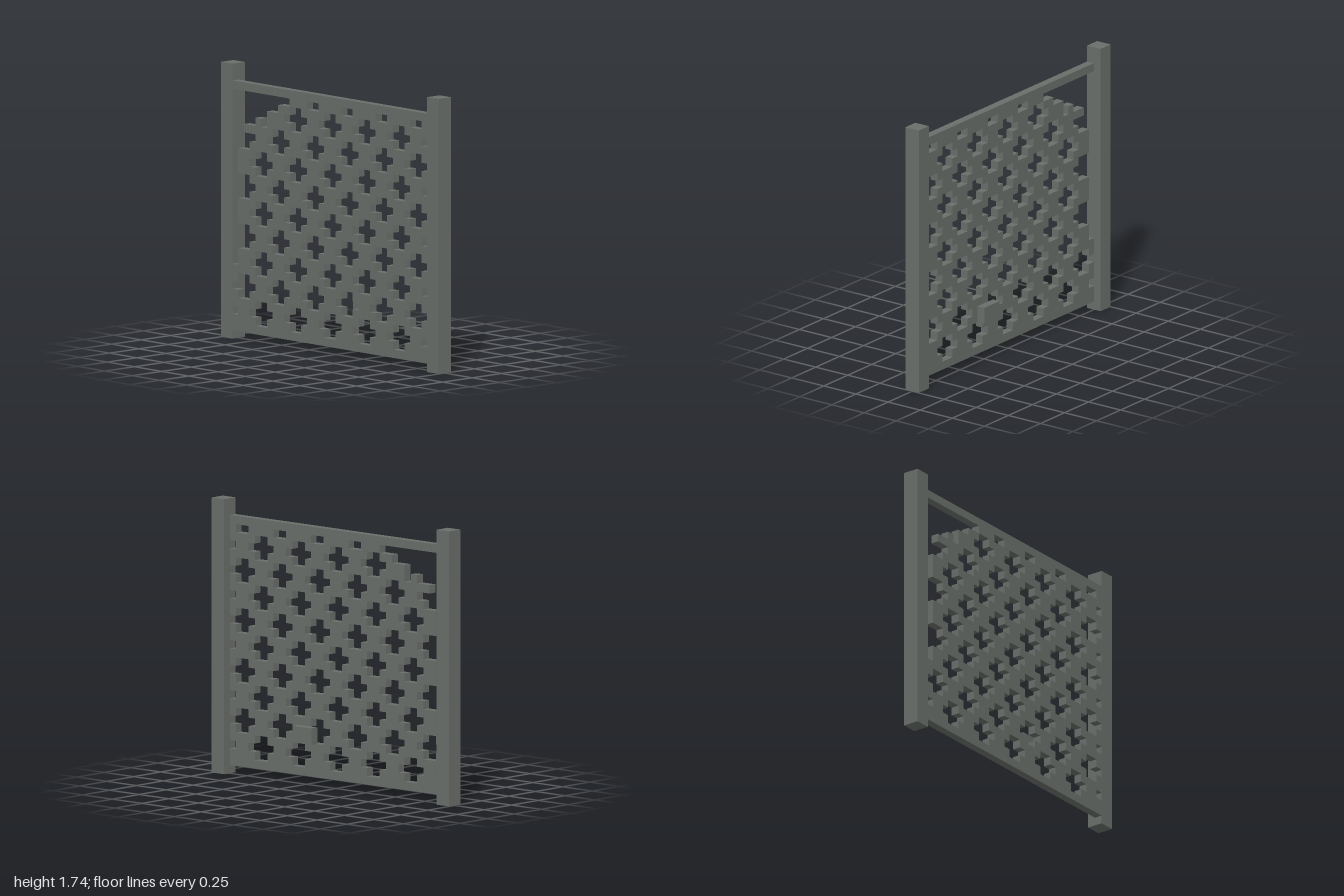
import * as THREE from 'three';
import { mergeGeometries } from 'three/addons/utils/BufferGeometryUtils.js';

const U = 1 / 19; // grid unit: the model is 38 units wide
const HALF = 17;  // half the panel width in units
const BOTTOM = 1, TOP = 31;

// Broken upper left corner: first remaining column of each damaged row
function firstColumn(row) {
  if (row < 9 || row === 30) return -HALF;
  if (row < 25) return -16;
  return [-15, -11, -11, -9, -7][row - 25];
}

// Single cells left over inside broken openings, as "column,row"
const remnants = new Set(['-15,25', '-13,26', '-11,27']);

// Staggered cross-shaped openings: 4 units wide, 3 high, every 6 units
function isOpening(col, row) {
  if (row < 2 || row > 29) return false;
  const band = Math.floor((row - 2) / 3);
  const halfWidth = (row - 2) % 3 === 1 ? 2 : 1;
  const shift = band % 2 ? 3 : 0;
  const d = ((col + 0.5 - shift + 3 + 60) % 6) - 3;
  return Math.abs(d) < halfWidth;
}

function isSolid(col, row) {
  if (row < BOTTOM || row >= TOP) return false;
  if (col < -HALF || col >= HALF) return true; // the posts
  if (remnants.has(`${col},${row}`)) return true;
  return col >= firstColumn(row) && !isOpening(col, row);
}

// Unit-thick lattice made of only its exposed faces
function latticeGeometry() {
  const faces = [];
  const face = (w, h, rx, ry, x, y, z) => faces.push(
    new THREE.PlaneGeometry(w * U, h * U).rotateX(rx).rotateY(ry).translate(x * U, y * U, z * U));
  const Q = Math.PI / 2;
  for (let r = BOTTOM; r < TOP; r++) {
    for (let c = -HALF; c < HALF; c++) {
      if (!isSolid(c, r)) continue;
      const x = c + 0.5, y = r + 0.5;
      if (!isSolid(c - 1, r)) face(1, 1, 0, -Q, c, y, 0.5);
      if (!isSolid(c + 1, r)) face(1, 1, 0, Q, c + 1, y, 0.5);
      if (!isSolid(c, r - 1)) face(1, 1, Q, 0, x, r, 0.5);
      if (!isSolid(c, r + 1)) face(1, 1, -Q, 0, x, r + 1, 0.5);
      // Front and back faces run along the row
      if (c === -HALF || !isSolid(c - 1, r)) {
        let end = c;
        while (end < HALF && isSolid(end, r)) end++;
        face(end - c, 1, 0, 0, (c + end) / 2, y, 1);
        face(end - c, 1, 0, Math.PI, (c + end) / 2, y, 0);
      }
    }
  }
  return mergeGeometries(faces);
}

export function createModel() {
  const group = new THREE.Group();
  const stone = new THREE.MeshStandardMaterial({ color: 0x6a6f6a });
  stone.name = 'grey stone';

  const add = (name, geometry) => {
    const mesh = new THREE.Mesh(geometry, stone);
    mesh.name = name;
    group.add(mesh);
  };
  const box = (x0, x1, y0, y1, z0, z1) =>
    new THREE.BoxGeometry((x1 - x0) * U, (y1 - y0) * U, (z1 - z0) * U)
      .translate((x0 + x1) / 2 * U, (y0 + y1) / 2 * U, (z0 + z1) / 2 * U);

  // Side posts
  add('leftPost', box(HALF, HALF + 2, 0, 33, -1, 1));
  add('rightPost', box(-HALF - 2, -HALF, 0, 33, -1, 1));

  // Pierced panel with its rails
  add('latticePanel', latticeGeometry());

  // Small block fixed to the back of the panel
  add('backBlock', box(3, 6, 5, 7, -1, 0));
  return group;
}
